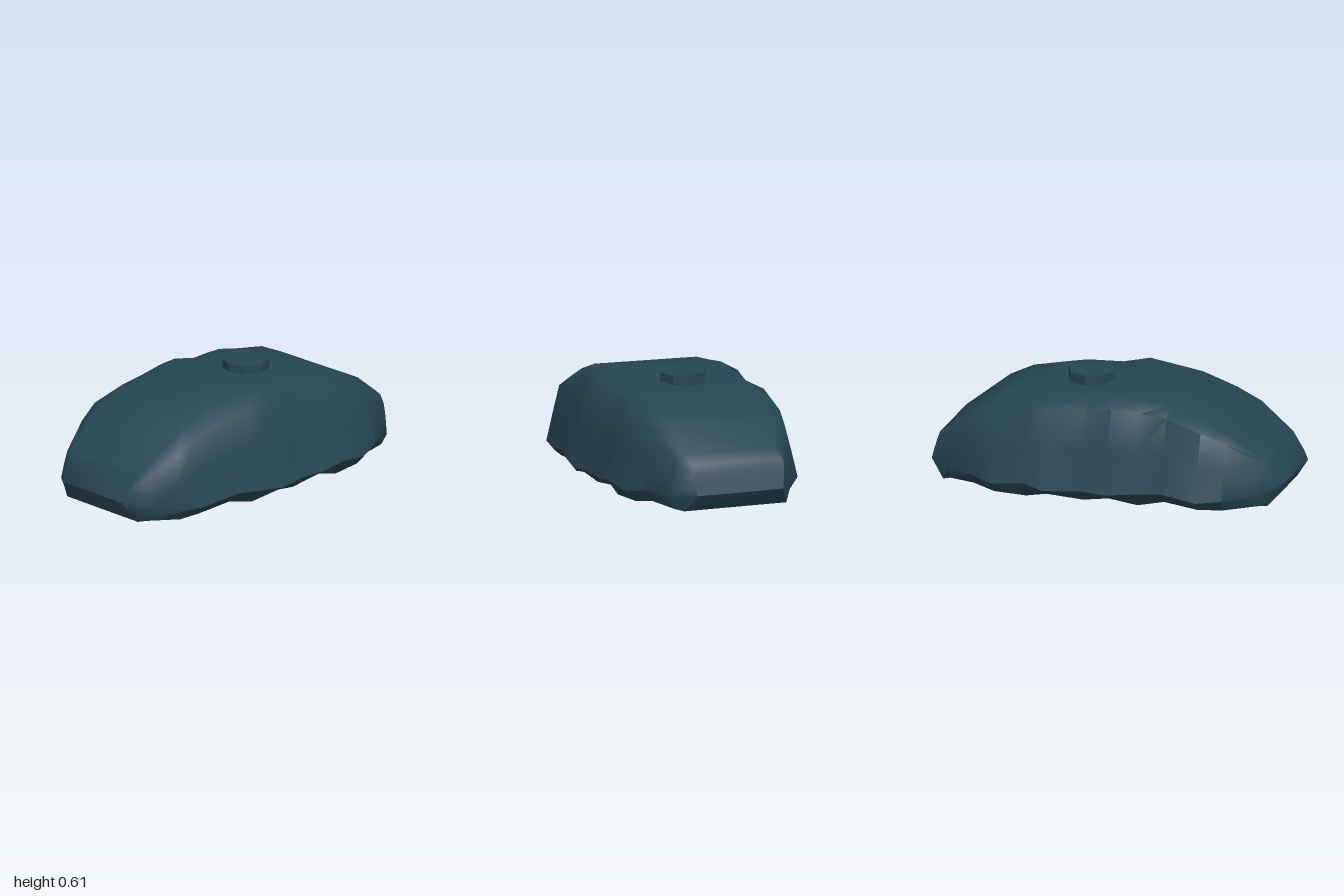
import * as THREE from 'three';
import { toCreasedNormals } from 'three/addons/utils/BufferGeometryUtils.js';

// Stations along the body: x, bottom y, fold y, top y, front half width, back half width
const STATIONS = [
  [-0.89, 0.02, 0.09, 0.285, 0.36, 0.36],
  [-0.71, 0.005, 0.07, 0.42, 0.45, 0.46],
  [-0.58, 0.01, 0.065, 0.49, 0.465, 0.52],
  [-0.38, 0.035, 0.095, 0.56, 0.495, 0.505],
  [-0.23, 0.005, 0.085, 0.578, 0.525, 0.515],
  [-0.07, 0.035, 0.07, 0.6, 0.545, 0.535],
  [0.08, 0.01, 0.075, 0.57, 0.52, 0.52],
  [0.28, 0.035, 0.07, 0.565, 0.51, 0.555],
  [0.40, 0.01, 0.1, 0.54, 0.53, 0.54],
  [0.59, 0.01, 0.07, 0.505, 0.49, 0.51],
  [0.72, 0.035, 0.1, 0.445, 0.44, 0.465],
  [0.88, 0.02, 0.09, 0.322, 0.365, 0.36],
];

// Ring of ten points: up the front side, over the top and down the back
function bodyRing([x, yb, yf, yt, front, back]) {
  const end = Math.max(0, (Math.abs(x) - 0.5) / 0.4);
  const side = [
    [yb, 0.88],
    [yf, 1],
    [yf + (yt - yf) * 0.45, 0.89 + end * 0.05],
    [yf + (yt - yf) * 0.87, 0.79 + end * 0.08],
    [yt, 0.6 + end * 0.15],
  ];
  const f = side.map(([y, k]) => [x, y, k * front]);
  const b = side.map(([y, k], i) => [x, i === 4 ? y - 0.012 : y, -k * back]);
  return [...f, ...b.reverse()];
}

// End ring, folded outwards along a horizontal ridge
function endRing(s, ridge, tip, top) {
  const f = [
    [s * 0.92, 0.012, 0.28],
    [s * tip, ridge, 0.23],
    [s * (tip * 0.7 + top * 0.3), ridge + 0.05, 0.24],
    [s * (tip * 0.3 + top * 0.7), 0.22, 0.25],
    [s * top, 0.27, 0.24],
  ];
  const b = f.map(([x, y, z]) => [x, y, -z - (s > 0 ? 0.04 : 0)]);
  return [...f, ...b.reverse()];
}

function loft(rings) {
  const n = rings[0].length;
  const pos = [];
  const quad = (a, b, c, d) => pos.push(...a, ...b, ...c, ...a, ...c, ...d);
  for (let i = 0; i < rings.length - 1; i++) {
    const p = rings[i], q = rings[i + 1];
    for (let j = 0; j < n; j++) {
      const k = (j + 1) % n;
      quad(p[j], q[j], q[k], p[k]);
    }
  }
  // End faces, joined front to back
  const l = rings[0], r = rings[rings.length - 1];
  for (let k = 0; k < n / 2 - 1; k++) {
    quad(r[k], r[n - 1 - k], r[n - 2 - k], r[k + 1]);
    quad(l[k], l[k + 1], l[n - 2 - k], l[n - 1 - k]);
  }
  const g = new THREE.BufferGeometry();
  g.setAttribute('position', new THREE.Float32BufferAttribute(pos, 3));
  return toCreasedNormals(g, 0.85);
}

export function createModel() {
  const model = new THREE.Group();
  model.name = 'domedShell';
  const slate = new THREE.MeshStandardMaterial({ color: 0x264653 });
  slate.name = 'dark slate blue';

  // Domed body with wavy lower edge
  const body = new THREE.Mesh(loft([
    endRing(-1, 0.13, 1, 0.915),
    ...STATIONS.map(bodyRing),
    endRing(1, 0.11, 1, 0.95),
  ]), slate);
  body.name = 'body';
  model.add(body);

  // Octagonal cap on top
  const capShape = new THREE.CylinderGeometry(0.13, 0.13, 0.12, 8);
  const cap = new THREE.Mesh(toCreasedNormals(capShape, 0.5), slate);
  cap.name = 'topCap';
  cap.position.set(0.165, 0.555, -0.005);
  model.add(cap);

  return model;
}
